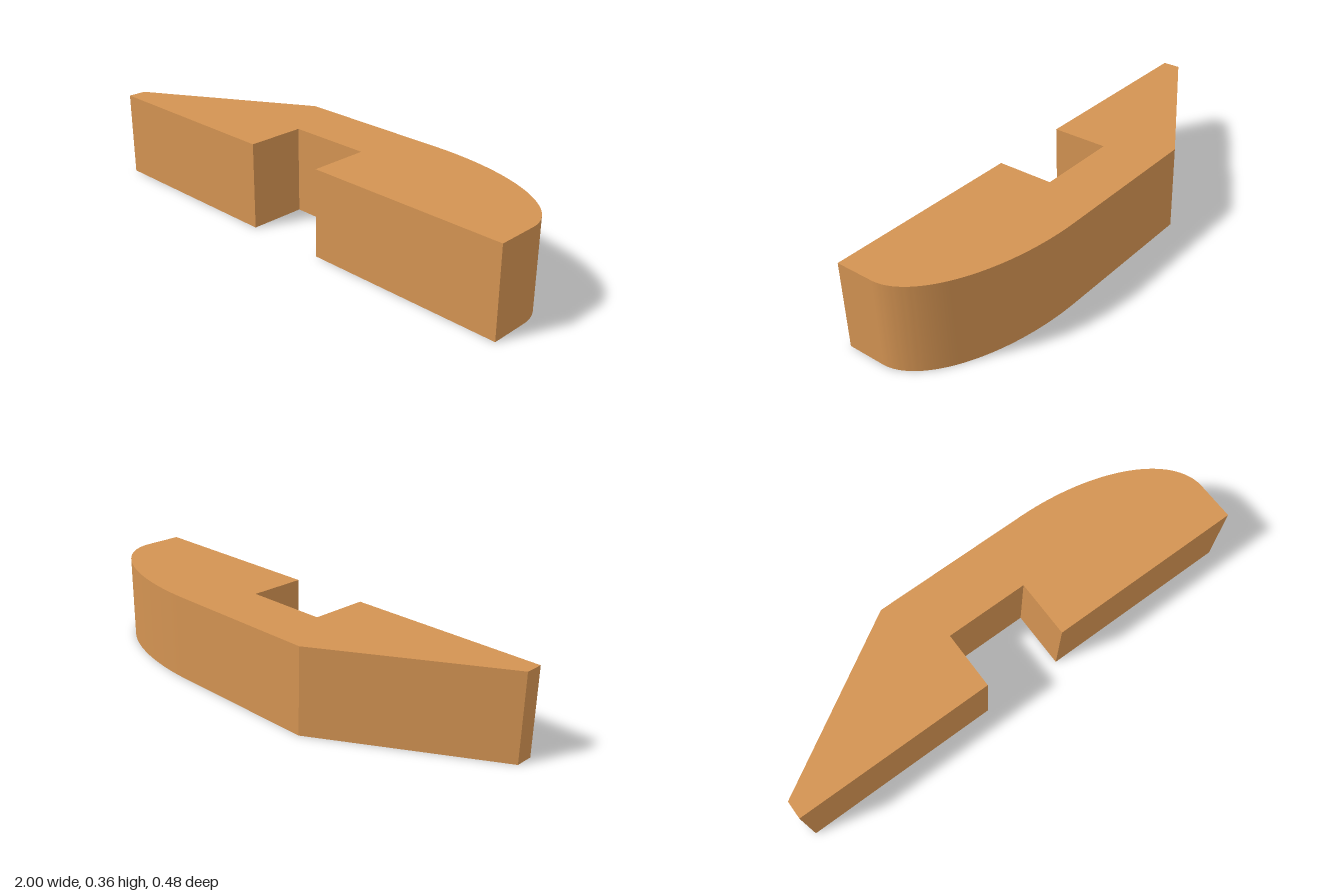
import * as THREE from 'three';
import { toCreasedNormals } from 'three/addons/utils/BufferGeometryUtils.js';

const HEIGHT = 0.357;
const FRONT = -0.24; // outline is drawn in (x, -z)
const BACK = 0.24;

export function createModel() {
  const group = new THREE.Group();
  group.name = 'notchedBlock';

  // Plan outline: notched front, rounded left end, sloping right end
  const outline = new THREE.Shape();
  outline.moveTo(-1, FRONT);
  outline.lineTo(-0.175, FRONT);
  outline.lineTo(-0.175, 0);
  outline.lineTo(0.172, 0);
  outline.lineTo(0.172, FRONT);
  outline.lineTo(1, FRONT);
  outline.lineTo(1, -0.08);
  outline.absellipse(0.34, -0.08, 0.66, 0.32, 0, Math.PI / 2, false);
  outline.lineTo(-0.325, BACK);
  outline.lineTo(-1, -0.165);
  outline.closePath();

  // Extrude upward, smooth along the curve and sharp at the corners
  const extruded = new THREE.ExtrudeGeometry(outline, {
    depth: HEIGHT, bevelEnabled: false, curveSegments: 32,
  });
  extruded.rotateX(-Math.PI / 2);

  const block = new THREE.Mesh(
    toCreasedNormals(extruded, 0.4),
    new THREE.MeshStandardMaterial({ color: 0xd39352 }),
  );
  block.name = 'block';
  group.add(block);
  return group;
}
